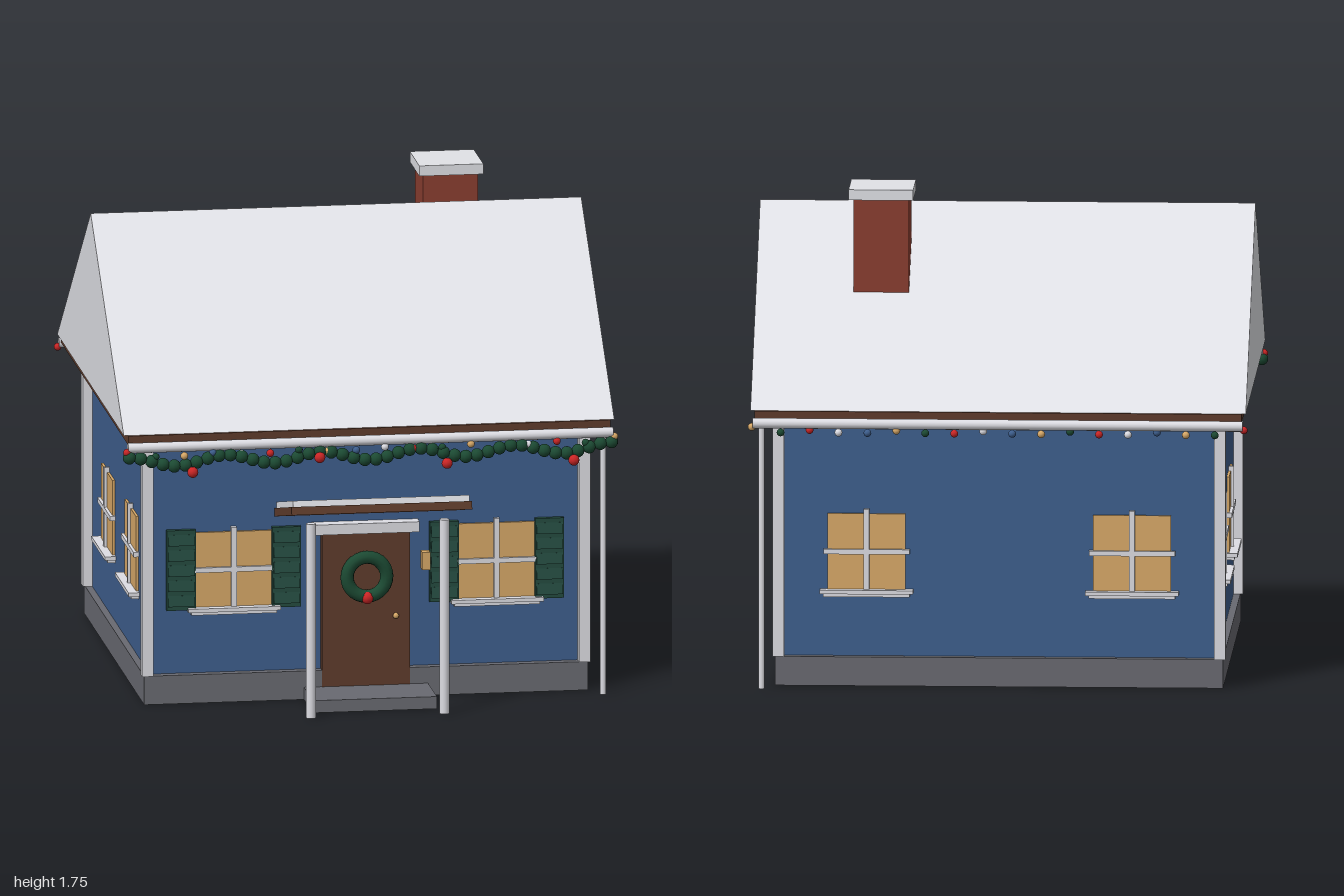
import * as THREE from 'three';

export function createModel() {
  const house = new THREE.Group();
  house.name = 'cottage';

  const mat = (name, color) => new THREE.MeshStandardMaterial({ name, color });
  const snow = mat('snow', 0xe4e5ea);
  const trim = mat('whiteTrim', 0xdedee4);
  const blue = mat('wallBlue', 0x3e5f8e);
  const glow = mat('windowGlow', 0xd8a968);
  const brown = mat('darkWood', 0x5f3c2c);
  const brick = mat('brick', 0x8a3e30);
  const stone = mat('stone', 0x696a71);
  const green = mat('evergreen', 0x1c4a33);
  const shutterGreen = mat('shutterGreen', 0x244b40);
  const red = mat('berryRed', 0xcc2626);

  const add = (name, geometry, material, x, y, z, parent = house) => {
    const mesh = new THREE.Mesh(geometry, material);
    mesh.name = name;
    mesh.position.set(x, y, z);
    parent.add(mesh);
    return mesh;
  };
  const box = (name, m, w, h, d, x, y, z, parent) =>
    add(name, new THREE.BoxGeometry(w, h, d), m, x, y, z, parent);
  const ball = (name, m, r, x, y, z, parent) =>
    add(name, new THREE.SphereGeometry(r, 10, 8), m, x, y, z, parent);
  const post = (name, m, r, h, x, y, z) =>
    add(name, new THREE.CylinderGeometry(r, r, h, 12), m, x, y, z);

  // Body: foundation, walls and corner boards
  const midZ = -0.13;
  box('foundation', stone, 1.61, 0.105, 1.47, 0, 0.0525, midZ);
  box('walls', blue, 1.56, 0.9, 1.405, 0, 0.54, midZ);
  for (const x of [-0.793, 0.793])
    for (const z of [0.592, -0.852])
      box('cornerBoard', trim, 0.042, 0.875, 0.042, x, 0.5425, z);

  // Roof: solid gable on a wooden eaves slab
  const gable = new THREE.Shape();
  gable.moveTo(0.68, 1.012);
  gable.lineTo(-0.13, 1.645);
  gable.lineTo(-0.945, 1.012);
  gable.closePath();
  const roof = new THREE.ExtrudeGeometry(gable, { depth: 1.78, bevelEnabled: false });
  roof.translate(0, 0, -0.89);
  roof.rotateY(-Math.PI / 2);
  add('snowyRoof', roof, snow, 0, 0, 0);
  box('eaves', brown, 1.75, 0.034, 1.645, 0, 0.995, -0.1325);

  // Gutters and downspouts
  for (const z of [0.71, -0.98]) {
    const gutter = post('gutter', trim, 0.019, 1.76, 0, 0.972, z);
    gutter.rotation.z = Math.PI / 2;
  }
  for (const z of [0.677, -0.937]) post('downspout', trim, 0.011, 0.97, 0.85, 0.485, z);

  // Chimney
  box('chimney', brick, 0.2, 0.51, 0.19, 0.44, 1.455, -0.39);
  box('chimneyCap', snow, 0.232, 0.038, 0.232, 0.44, 1.726, -0.39);

  // Windows, built facing +z and turned onto each wall
  const addWindow = (x, z, turn, shutters) => {
    const w = new THREE.Group();
    w.name = 'window';
    w.position.set(x, 0.48, z);
    w.rotation.y = turn;
    house.add(w);
    box('pane', glow, 0.28, 0.285, 0.009, 0, 0, 0.0045, w);
    box('verticalBar', trim, 0.02, 0.31, 0.02, 0, 0.005, 0.01, w);
    box('horizontalBar', trim, 0.31, 0.018, 0.02, 0, 0.005, 0.01, w);
    box('sill', trim, 0.335, 0.014, 0.04, 0, -0.139, 0.02, w);
    box('sillMoulding', trim, 0.31, 0.012, 0.028, 0, -0.152, 0.014, w);
    if (!shutters) return;
    for (const s of [-1, 1]) {
      box('shutter', shutterGreen, 0.105, 0.295, 0.02, s * 0.191, 0.0075, 0.01, w);
      for (let i = 0; i < 5; i++) {
        const slat = box('shutterSlat', shutterGreen, 0.095, 0.04, 0.008,
          s * 0.191, -0.105 + i * 0.056, 0.024, w);
        slat.rotation.x = -0.2;
      }
    }
  };
  for (const s of [-1, 1]) {
    addWindow(s * 0.477, 0.5725, 0, true);
    addWindow(s * 0.477, -0.8325, Math.PI, false);
    for (const z of [0.157, -0.42]) addWindow(s * 0.78, z, s * Math.PI / 2, false);
  }

  // Front door with wreath, knob and lantern
  box('door', brown, 0.32, 0.565, 0.035, 0, 0.3275, 0.59);
  box('doorLintel', trim, 0.385, 0.038, 0.05, 0, 0.626, 0.597);
  add('wreath', new THREE.TorusGeometry(0.072, 0.024, 10, 28), green, 0, 0.45, 0.628);
  ball('wreathBerry', red, 0.023, 0, 0.375, 0.638);
  ball('doorKnob', glow, 0.011, 0.107, 0.3, 0.615);
  box('lantern', glow, 0.03, 0.065, 0.035, 0.212, 0.505, 0.63);
  box('lanternBracket', brown, 0.018, 0.04, 0.045, 0.212, 0.505, 0.592);

  // Porch: step, posts and tilted roof
  box('doorStep', stone, 0.45, 0.045, 0.225, 0, 0.0225, 0.7075);
  for (const x of [-0.242, 0.242]) post('porchPost', trim, 0.018, 0.715, x, 0.3575, 0.892);
  const porch = new THREE.Group();
  porch.name = 'porchRoof';
  porch.position.set(0, 0.737, 0.785);
  porch.rotation.x = -0.235;
  house.add(porch);
  box('porchBoards', brown, 0.655, 0.03, 0.43, 0, 0, 0, porch);
  box('porchSnow', snow, 0.64, 0.022, 0.42, 0, 0.026, -0.008, porch);

  // Garland hung in five swags, with red baubles
  const beads = 44;
  for (let i = 0; i < beads; i++) {
    const x = -0.875 + (1.75 * i) / (beads - 1);
    const y = 0.92 + 0.018 * Math.cos((x + 0.875) * 2 * Math.PI / 0.35);
    ball('garlandBead', green, 0.024, x, y, 0.715);
  }
  [[-0.648, 0.882], [-0.187, 0.921], [0.275, 0.884], [0.735, 0.88]].forEach(([x, y]) =>
    ball('bauble', red, 0.02, x, y, 0.737));

  // Strings of coloured bulbs below both gutters
  const bulbColors = [red, green, glow, blue, trim];
  for (const z of [0.718, -0.978])
    for (let i = 0; i <= 17; i++) {
      const end = i === 0 || i === 17;
      ball('lightBulb', bulbColors[i % 5], 0.014,
        -0.884 + i * 0.104, end ? 0.958 : 0.942 + 0.006 * Math.cos(i * 2.1), z);
    }

  return house;
}
